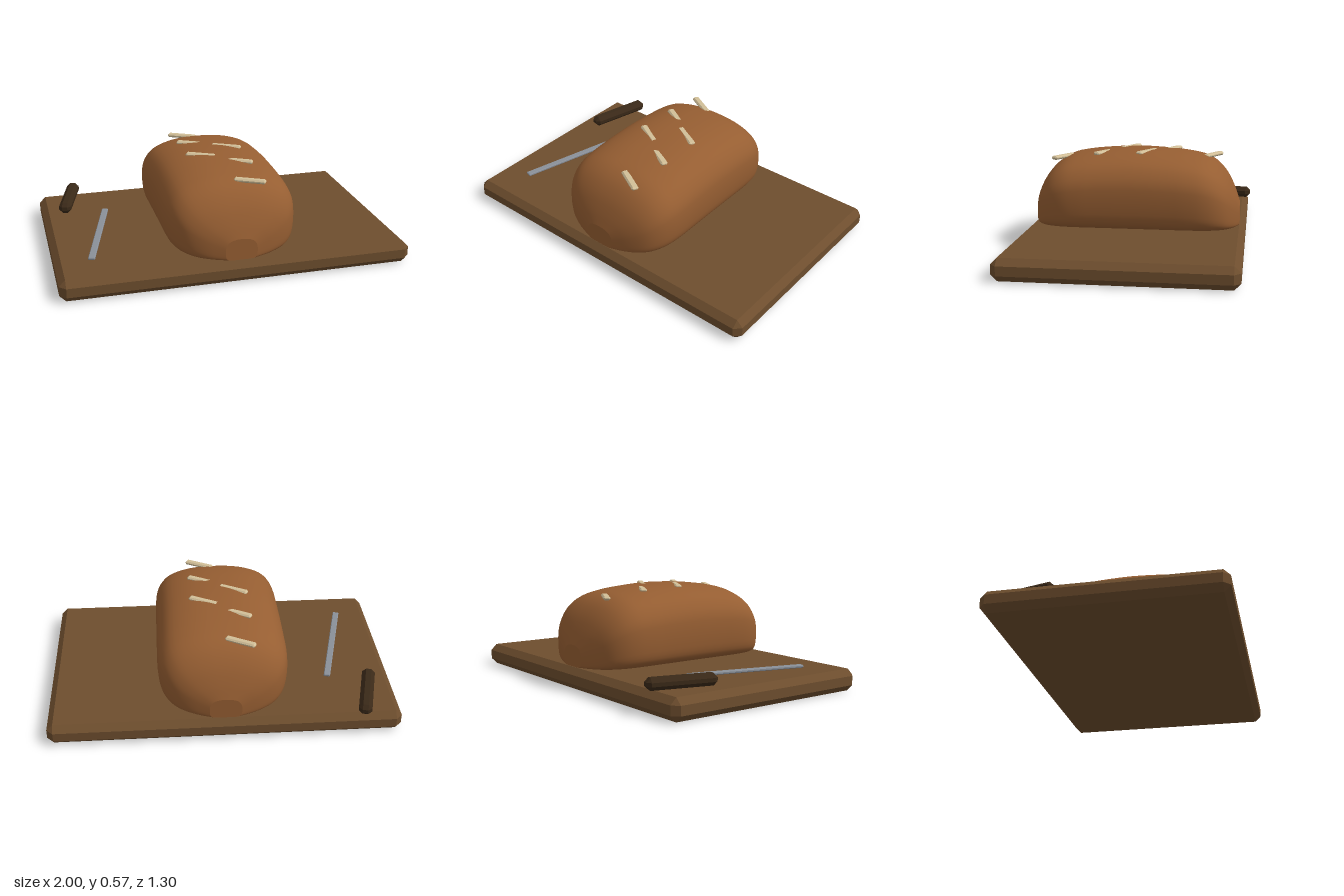
import * as THREE from 'three';
import { ConvexGeometry } from 'three/addons/geometries/ConvexGeometry.js';

const material = (name, color) => {
  const m = new THREE.MeshStandardMaterial({ color });
  m.name = name;
  return m;
};

// Box with every edge and corner cut at 45 degrees
function chamferBox(w, h, d, c) {
  const points = [];
  for (const x of [-1, 1]) for (const y of [-1, 1]) for (const z of [-1, 1])
    for (let axis = 0; axis < 3; axis++) {
      const cut = [c, c, c];
      cut[axis] = 0;
      points.push(new THREE.Vector3(
        x * (w / 2 - cut[0]), y * (h / 2 - cut[1]), z * (d / 2 - cut[2])));
    }
  return new ConvexGeometry(points);
}

const curve = (pts) => new THREE.CatmullRomCurve3(pts.map(p => new THREE.Vector3(p[0], p[1], p[2] || 0)));

// Domed loaf: one cross-section scaled along z, closed by small flat ends
function loafGeometry(baseY) {
  const half = [
    [0, 0], [0.55, 0], [0.83, 0.03], [0.95, 0.1], [1, 0.24], [1, 0.56],
    [0.94, 0.71], [0.8, 0.85], [0.55, 0.945], [0.27, 0.99], [0, 1]];
  const right = curve(half).getPoints(30);
  const ring = [...right, ...right.slice(1, -1).reverse().map(p => new THREE.Vector3(-p.x, p.y, 0))];
  // Stations: distance from the middle, half width, top height
  const stations = [
    [0, 0.37, 0.57], [0.2, 0.37, 0.56], [0.31, 0.369, 0.547], [0.4, 0.36, 0.527],
    [0.47, 0.335, 0.487], [0.53, 0.285, 0.42], [0.575, 0.2, 0.335], [0.607, 0.09, 0.25]];
  const back = stations.slice(1).reverse().map(([z, w, t]) => [-z, w, t]);
  const rows = curve([...back, ...stations]).getPoints(48);

  const pos = [], index = [], n = ring.length;
  const addRing = (s) => ring.forEach(p => pos.push(p.x * s.y, baseY + p.y * (s.z - baseY), s.x));
  rows.forEach(addRing);
  for (let i = 0; i < rows.length - 1; i++) for (let j = 0; j < n; j++) {
    const a = i * n + j, b = i * n + (j + 1) % n;
    index.push(a, b, b + n, a, b + n, a + n);
  }
  for (const [row, front] of [[rows[0], false], [rows[rows.length - 1], true]]) {
    const start = pos.length / 3;
    addRing(row);
    for (let j = 1; j < n - 1; j++)
      index.push(start, start + (front ? j : j + 1), start + (front ? j + 1 : j));
  }
  const g = new THREE.BufferGeometry();
  g.setAttribute('position', new THREE.Float32BufferAttribute(pos, 3));
  g.setIndex(index);
  g.computeVertexNormals();
  return g;
}

export function createModel() {
  const wood = material('board wood', 0x6e4e2e);
  const crust = material('bread crust', 0x965e32);
  const cream = material('pale scoring', 0xd2bf98);
  const steel = material('blade steel', 0x8a9099);
  const darkWood = material('handle wood', 0x3a2918);

  const model = new THREE.Group();
  model.name = 'breadBoard';
  const add = (name, geometry, mat, x, y, z, turn = 0) => {
    const mesh = new THREE.Mesh(geometry, mat);
    mesh.name = name;
    mesh.position.set(x, y, z);
    mesh.rotation.y = turn;
    model.add(mesh);
  };

  const midZ = 0.006;
  add('cuttingBoard', chamferBox(2, 0.125, 1.285, 0.036), wood, 0, 0.0625, midZ);
  add('loaf', loafGeometry(0.127), crust, 0, 0, midZ);

  // Scoring slivers, staggered on both sides of the crown
  const sliver = chamferBox(0.18, 0.022, 0.04, 0.008);
  for (const side of [-1, 1])
    for (const [z, y] of [[0.44, 0.52], [0.19, 0.55], [-0.06, 0.557]])
      add('scoreMark', sliver, cream, side * 0.092, y, side * z + midZ, -0.5);

  // Knife lying beside the loaf
  add('knifeBlade', chamferBox(0.038, 0.016, 0.705, 0.004), steel, -0.712, 0.137, 0.077, -0.25);
  add('knifeHandle', chamferBox(0.075, 0.065, 0.39, 0.022), darkWood, -0.823, 0.162, -0.46, -0.25);

  return model;
}
